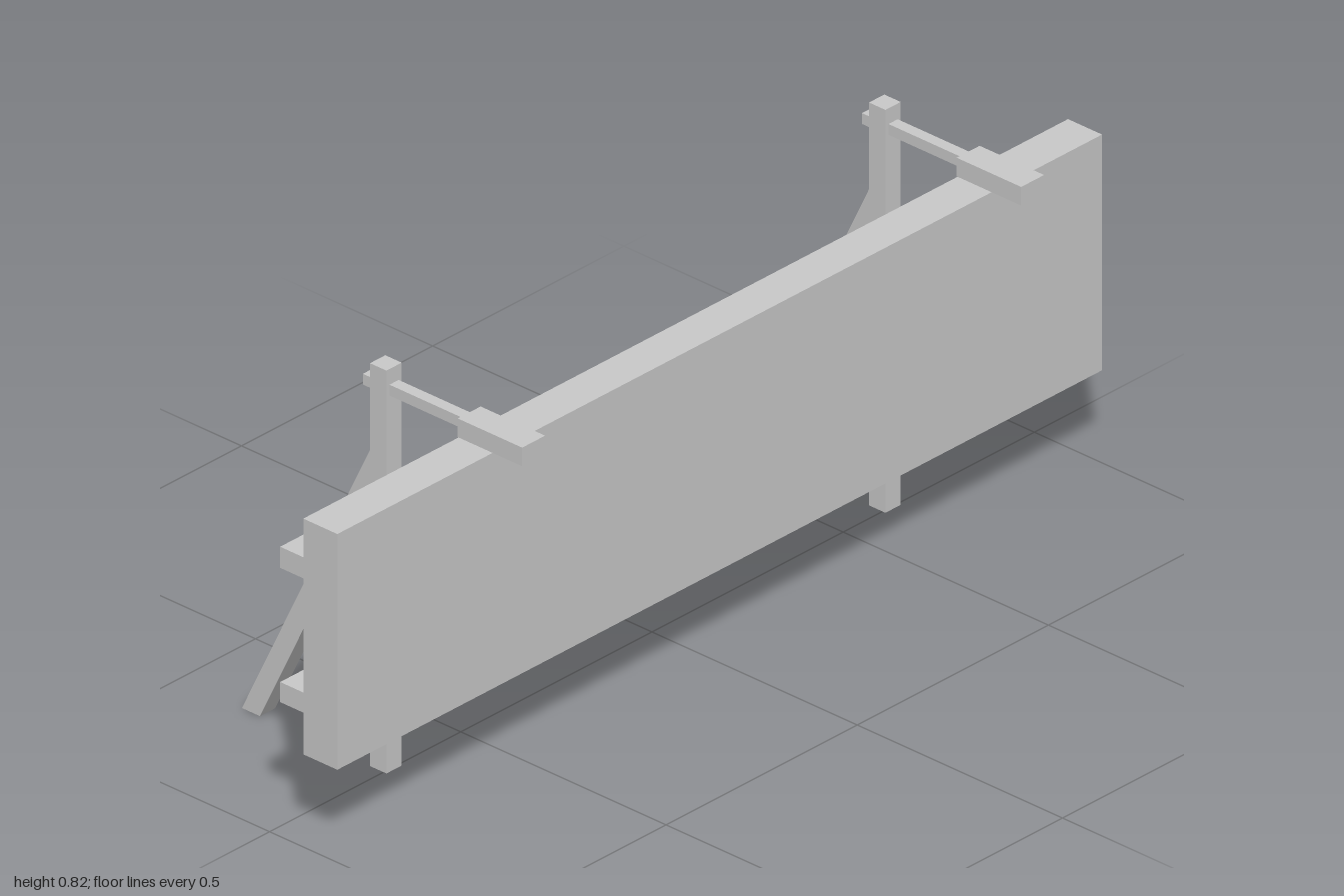
import * as THREE from 'three';

const material = new THREE.MeshStandardMaterial({ color: 0xcccccc, flatShading: true });

// Box given by its centre x, width, and its y and z ranges
function bar(name, x, width, y0, y1, z0, z1) {
  const mesh = new THREE.Mesh(new THREE.BoxGeometry(width, y1 - y0, z1 - z0), material);
  mesh.position.set(x, (y0 + y1) / 2, (z0 + z1) / 2);
  mesh.name = name;
  return mesh;
}

// Sloping back leg, cut flush with the post and the ground
function brace(width) {
  const profile = new THREE.Shape([
    new THREE.Vector2(-0.033, 0.645),
    new THREE.Vector2(-0.345, 0),
    new THREE.Vector2(-0.301, 0),
    new THREE.Vector2(-0.033, 0.553),
  ]);
  const geometry = new THREE.ExtrudeGeometry(profile, { depth: width, bevelEnabled: false });
  geometry.translate(0, 0, -width / 2).rotateY(-Math.PI / 2);
  const mesh = new THREE.Mesh(geometry, material);
  mesh.name = 'brace';
  return mesh;
}

// Post with its back leg and the lamp on an arm reaching forward
function support(name, x) {
  const group = new THREE.Group();
  group.name = name;
  group.position.x = x;
  group.add(
    bar('post', 0, 0.04, 0, 0.822, -0.033, 0.007),
    brace(0.04),
    bar('lampArm', 0, 0.024, 0.768, 0.79, -0.033, 0.19),
    bar('armEnd', 0, 0.03, 0.768, 0.79, -0.055, -0.033),
    bar('lampHead', 0, 0.06, 0.76, 0.798, 0.19, 0.347),
  );
  return group;
}

export function createModel() {
  const model = new THREE.Group();
  model.name = 'billboard';

  model.add(bar('panel', 0, 2, 0.189, 0.67, 0.082, 0.165));

  // Horizontal rails behind the panel
  model.add(bar('lowerRail', 0, 1.96, 0.259, 0.3, 0.007, 0.078));
  model.add(bar('upperRail', 0, 1.96, 0.533, 0.576, 0.007, 0.078));

  model.add(support('rightSupport', -0.682), support('leftSupport', 0.623));
  return model;
}
